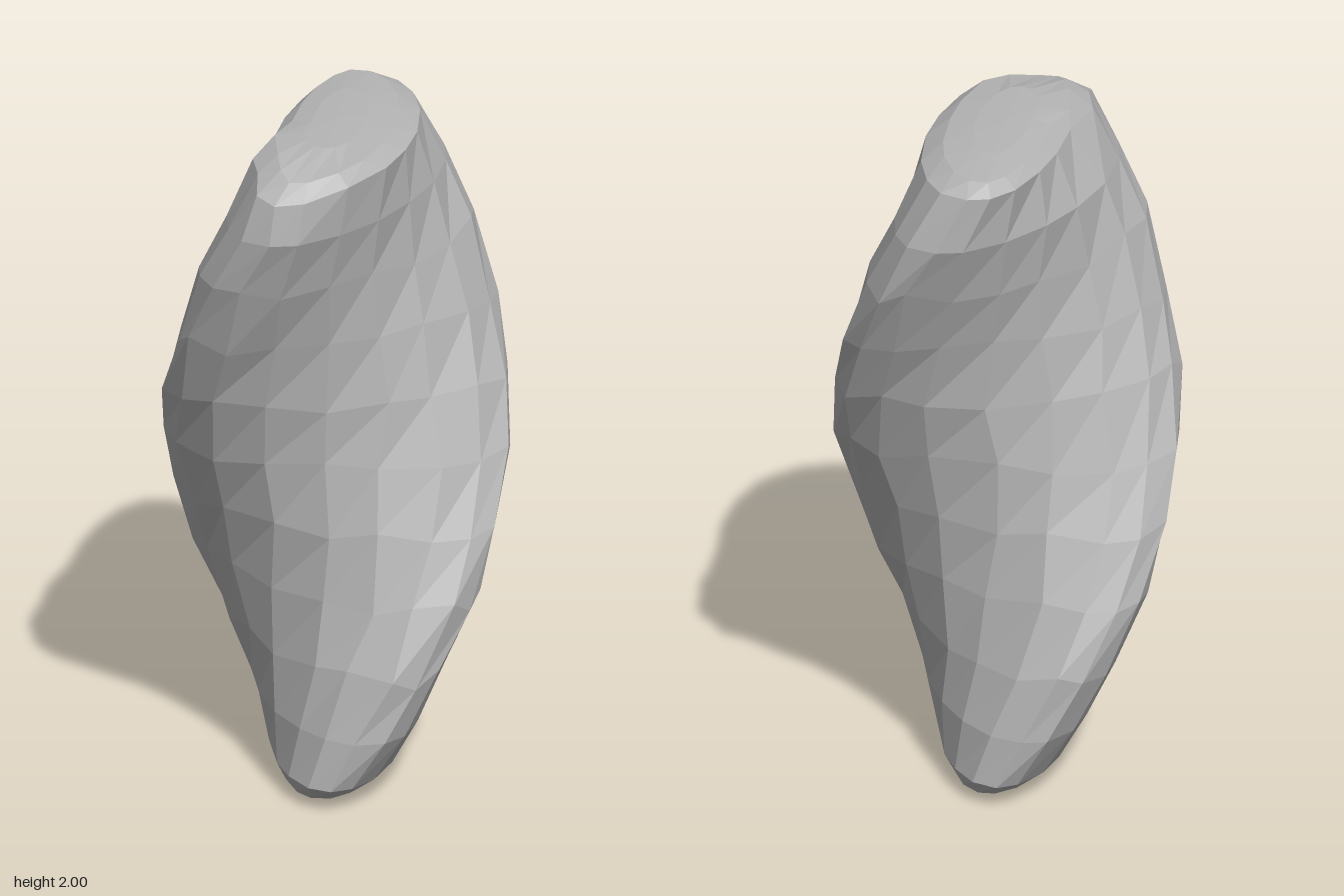
import * as THREE from 'three';

// Twisted faceted stone: an oval section that makes a half turn from base to crown.
const SIDES = 18;

// [height, half length, half width] of each oval section
const SECTIONS = [
  [0.005, 0.24, 0.09], [0.02, 0.41, 0.155], [0.07, 0.475, 0.195], [0.22, 0.5, 0.235],
  [0.4, 0.515, 0.25], [0.6, 0.52, 0.255], [0.8, 0.515, 0.26], [1.0, 0.515, 0.26],
  [1.2, 0.515, 0.26], [1.4, 0.51, 0.255], [1.6, 0.52, 0.25], [1.78, 0.515, 0.245],
  [1.95, 0.475, 0.23], [1.985, 0.42, 0.17], [1.997, 0.24, 0.09],
];

function seeded(seed) {
  return () => {
    seed = (seed * 16807) % 2147483647;
    return seed / 2147483647 - 0.5;
  };
}

function stoneGeometry() {
  const rand = seeded(71);
  const rings = SECTIONS.map(([y, a, b], i) => {
    const turn = -(y - 1) * Math.PI / 2;
    const body = y > 0.25 && y < 1.75;
    const ring = [];
    for (let j = 0; j < SIDES; j++) {
      // staggered rows with slight unevenness
      const t = ((j + (i % 2) * 0.5 + rand() * 0.25) / SIDES) * Math.PI * 2;
      const r = 1 + rand() * (body ? 0.04 : 0.02);
      const u = a * r * Math.cos(t), v = b * r * Math.sin(t);
      const p = new THREE.Vector3(
        u * Math.cos(turn) - v * Math.sin(turn),
        y + (body ? rand() * 0.05 : 0),
        u * Math.sin(turn) + v * Math.cos(turn));
      if (y > 1.9) {
        // right back rim of the crown is bevelled inward
        if (p.x < 0 && p.z < 0.1) p.x *= 0.76;
        // chipped front lip of the crown
        const lip = Math.max(0, p.z - 0.33);
        p.y -= lip * 0.35;
        p.x -= lip * 0.55;
      }
      ring.push(p);
    }
    return ring;
  });

  const pos = [];
  const tri = (...pts) => pts.forEach((p) => pos.push(p.x, p.y, p.z));
  const base = new THREE.Vector3(0, 0, 0), crown = new THREE.Vector3(0, 2, 0);
  const last = rings[rings.length - 1];
  for (let j = 0; j < SIDES; j++) {
    const k = (j + 1) % SIDES;
    tri(base, rings[0][j], rings[0][k]);
    tri(crown, last[k], last[j]);
    for (let i = 0; i < rings.length - 1; i++) {
      const lo = rings[i], hi = rings[i + 1];
      // the diagonal follows the stagger of the rows
      if (i % 2 === 0) {
        tri(lo[j], hi[j], lo[k]);
        tri(lo[k], hi[j], hi[k]);
      } else {
        tri(lo[j], hi[j], hi[k]);
        tri(lo[j], hi[k], lo[k]);
      }
    }
  }
  const geo = new THREE.BufferGeometry();
  geo.setAttribute('position', new THREE.Float32BufferAttribute(pos, 3));
  geo.computeVertexNormals(); // unshared corners give flat facets
  return geo;
}

export function createModel() {
  const group = new THREE.Group();
  group.name = 'twistedStone';
  const stoneGrey = new THREE.MeshStandardMaterial({ color: 0xb6b6b6 });
  stoneGrey.name = 'stoneGrey';
  const stone = new THREE.Mesh(stoneGeometry(), stoneGrey);
  stone.name = 'stoneBody';
  group.add(stone);
  return group;
}
